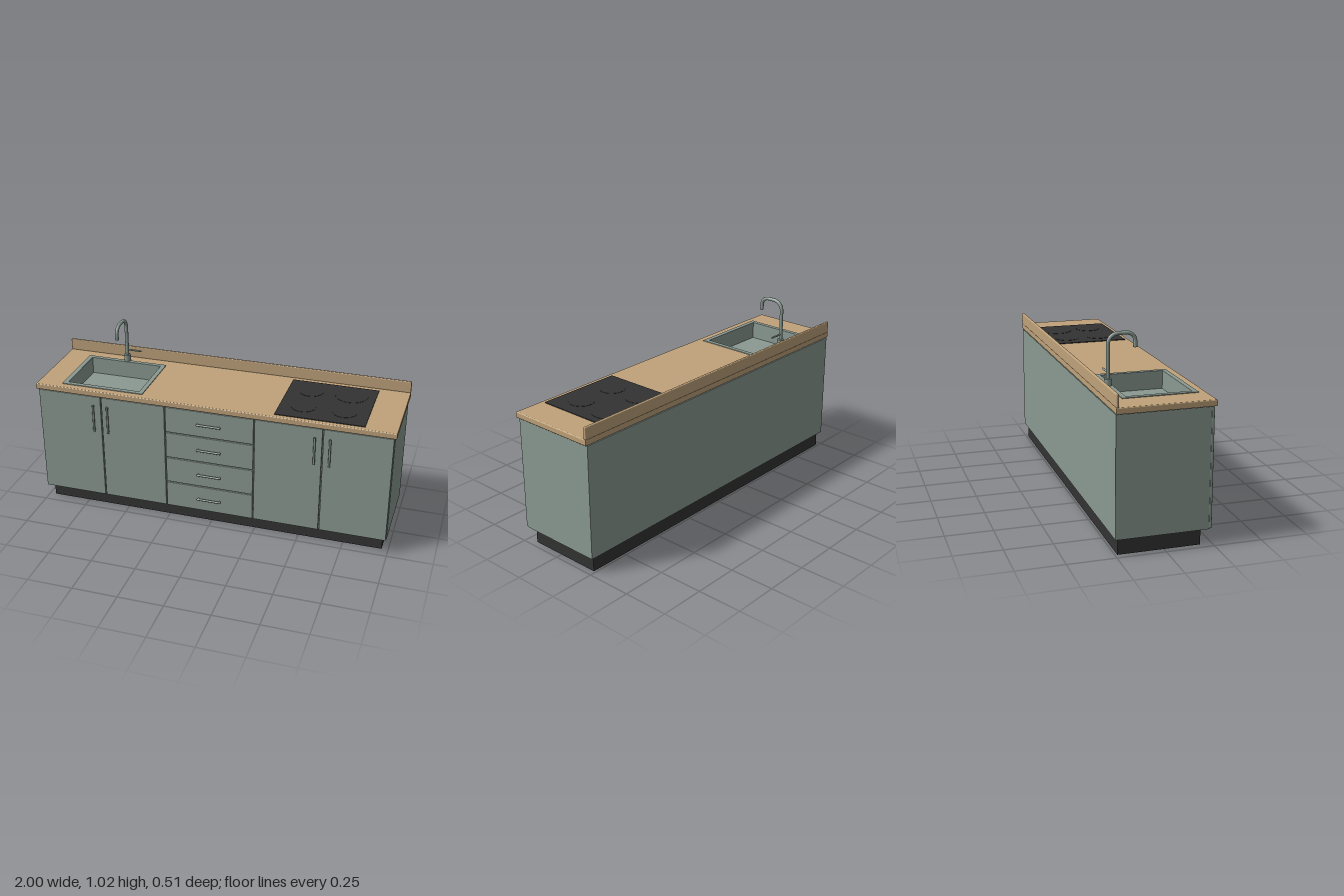
import * as THREE from 'three';
import { RoundedBoxGeometry } from 'three/addons/geometries/RoundedBoxGeometry.js';

const sage = new THREE.MeshStandardMaterial({ color: 0x8b9a92 });
sage.name = 'sage';
const wood = new THREE.MeshStandardMaterial({ color: 0xbfa27a });
wood.name = 'wood';
const black = new THREE.MeshStandardMaterial({ color: 0x333333 });
black.name = 'black';

export function createModel() {
  const model = new THREE.Group();
  model.name = 'kitchenUnit';

  const add = (name, geometry, material, parent = model) => {
    const mesh = new THREE.Mesh(geometry, material);
    mesh.name = name;
    parent.add(mesh);
    return mesh;
  };
  const group = (name) => {
    const g = new THREE.Group();
    g.name = name;
    model.add(g);
    return g;
  };
  // Box given by its lower and upper limits, optionally with rounded edges
  const box = (name, [x0, y0, z0], [x1, y1, z1], material, parent, r = 0) => {
    const size = [x1 - x0, y1 - y0, z1 - z0];
    const geo = r ? new RoundedBoxGeometry(...size, 3, r) : new THREE.BoxGeometry(...size);
    geo.translate((x0 + x1) / 2, (y0 + y1) / 2, (z0 + z1) / 2);
    return add(name, geo, material, parent);
  };
  // Round bar between two points
  const bar = (name, a, b, r, material, parent) => {
    const p = new THREE.Vector3(...a), q = new THREE.Vector3(...b);
    const mesh = add(name, new THREE.CylinderGeometry(r, r, p.distanceTo(q), 16), material, parent);
    mesh.position.copy(p).lerp(q, 0.5);
    mesh.quaternion.setFromUnitVectors(new THREE.Vector3(0, 1, 0), q.sub(p).normalize());
    return mesh;
  };
  // Horizontal slab with a rectangular opening; rectangles are [x0, z0, x1, z1]
  const rect = (Type, [x0, z0, x1, z1]) => {
    const path = new Type();
    path.moveTo(x0, z0).lineTo(x1, z0).lineTo(x1, z1).lineTo(x0, z1).closePath();
    return path;
  };
  const slab = (name, outer, inner, y0, y1, bevel, material, parent) => {
    const shape = rect(THREE.Shape, outer);
    shape.holes.push(rect(THREE.Path, inner));
    const geo = new THREE.ExtrudeGeometry(shape, {
      depth: y1 - y0 - 2 * bevel, bevelEnabled: bevel > 0, bevelSize: bevel,
      bevelThickness: bevel, bevelOffset: -bevel, bevelSegments: 3,
    });
    geo.rotateX(Math.PI / 2).translate(0, y1 - bevel, 0);
    return add(name, geo, material, parent);
  };

  // Plinth and cabinet carcass
  box('plinth', [-0.965, 0, -0.238], [0.965, 0.087, 0.188], black);
  const carcass = group('carcass');
  for (const s of [-1, 1]) {
    const x = s * 0.982;
    box('sidePanel', [x - 0.008, 0.087, -0.255], [x + 0.008, 0.71, 0.222], sage, carcass);
  }
  box('bottomPanel', [-0.974, 0.087, -0.255], [0.974, 0.103, 0.222], sage, carcass);
  box('backPanel', [-0.974, 0.103, -0.255], [0.974, 0.71, -0.243], sage, carcass);
  box('frontFrame', [-0.974, 0.103, 0.21], [0.974, 0.71, 0.222], sage, carcass);

  // Doors with upright handles beside their meeting edges
  const gap = 0.0025;
  const front = (name, x0, x1, y0, y1, parent) =>
    box(name, [x0 + gap, y0 + gap, 0.223], [x1 - gap, y1 - gap, 0.238], sage, parent, 0.003);
  const handle = (a, b, parent) => {
    bar('handleBar', [...a, 0.251], [...b, 0.251], 0.006, sage, parent);
    for (const t of [0.05, 0.95]) {
      const x = a[0] + (b[0] - a[0]) * t, y = a[1] + (b[1] - a[1]) * t;
      bar('handlePost', [x, y, 0.236], [x, y, 0.251], 0.004, sage, parent);
    }
  };
  const doors = group('doors');
  for (const s of [-1, 1]) {
    for (const [a, b] of [[0.25, 0.62], [0.62, 0.99]])
      front('door', Math.min(s * a, s * b), Math.max(s * a, s * b), 0.086, 0.711, doors);
    for (const d of [-0.041, 0.041])
      handle([s * 0.621 + d, 0.5], [s * 0.621 + d, 0.66], doors);
  }

  // Four drawers with level handles
  const drawers = group('drawers');
  for (let i = 0; i < 4; i++) {
    const h = 0.156, y = 0.086 + i * h;
    front('drawerFront', -0.25, 0.25, y, y + h, drawers);
    handle([-0.067, y + h / 2], [0.067, y + h / 2], drawers);
  }

  // Worktop with sink opening, and upstand
  const opening = [-0.836, -0.162, -0.41, 0.183];
  slab('worktop', [-1, -0.255, 1, 0.245], opening, 0.712, 0.745, 0.005, wood);
  box('upstand', [-1, 0.743, -0.256], [1, 0.81, -0.241], wood, model, 0.005);

  // Sink: rim, four walls and floor
  const sink = group('sink');
  const [x0, z0, x1, z1] = opening;
  const t = 0.004, floorY = 0.652;
  slab('sinkRim', [-0.858, -0.183, -0.388, 0.205], [x0 + t, z0 + t, x1 - t, z1 - t],
    0.744, 0.749, 0.001, sage, sink);
  slab('sinkWalls', opening, [x0 + t, z0 + t, x1 - t, z1 - t], floorY, 0.746, 0, sage, sink);
  box('sinkFloor', [x0, floorY - t, z0], [x1, floorY, z1], sage, sink);
  const drain = add('drain', new THREE.CylinderGeometry(0.022, 0.022, 0.002, 24), sage, sink);
  drain.position.set((x0 + x1) / 2, floorY + 0.001, (z0 + z1) / 2);

  // Tap: base, hooked spout and side lever
  const tap = group('tap');
  const tx = -0.623, tz = -0.182;
  bar('tapBase', [tx, 0.745, tz], [tx, 0.785, tz], 0.0195, sage, tap);
  const P = (y, z) => new THREE.Vector3(tx, y, z);
  const path = new THREE.CurvePath();
  path.add(new THREE.LineCurve3(P(0.78, tz), P(0.955, tz)));
  path.add(new THREE.CubicBezierCurve3(P(0.955, tz), P(0.985, tz), P(1.01, -0.16), P(1.01, -0.125)));
  path.add(new THREE.LineCurve3(P(1.01, -0.125), P(1.01, -0.09)));
  path.add(new THREE.CubicBezierCurve3(P(1.01, -0.09), P(1.01, -0.06), P(0.99, -0.041), P(0.965, -0.041)));
  path.add(new THREE.LineCurve3(P(0.965, -0.041), P(0.935, -0.041)));
  add('spout', new THREE.TubeGeometry(path, 80, 0.01, 16), sage, tap);
  bar('spoutTip', [tx, 0.935, -0.041], [tx, 0.94, -0.041], 0.01, sage, tap);
  bar('lever', [tx, 0.816, tz], [-0.538, 0.816, tz], 0.005, sage, tap);

  // Hob plate with four round zones
  const hob = group('hob');
  box('hobPlate', [0.352, 0.744, -0.212], [0.832, 0.749, 0.219], black, hob);
  for (const [x, z, r] of [[0.48, -0.1, 0.068], [0.7, -0.11, 0.09], [0.48, 0.088, 0.068], [0.7, 0.088, 0.068]]) {
    const zone = add('cookingZone', new THREE.CylinderGeometry(r, r, 0.002, 48), black, hob);
    zone.position.set(x, 0.7495, z);
  }

  return model;
}
